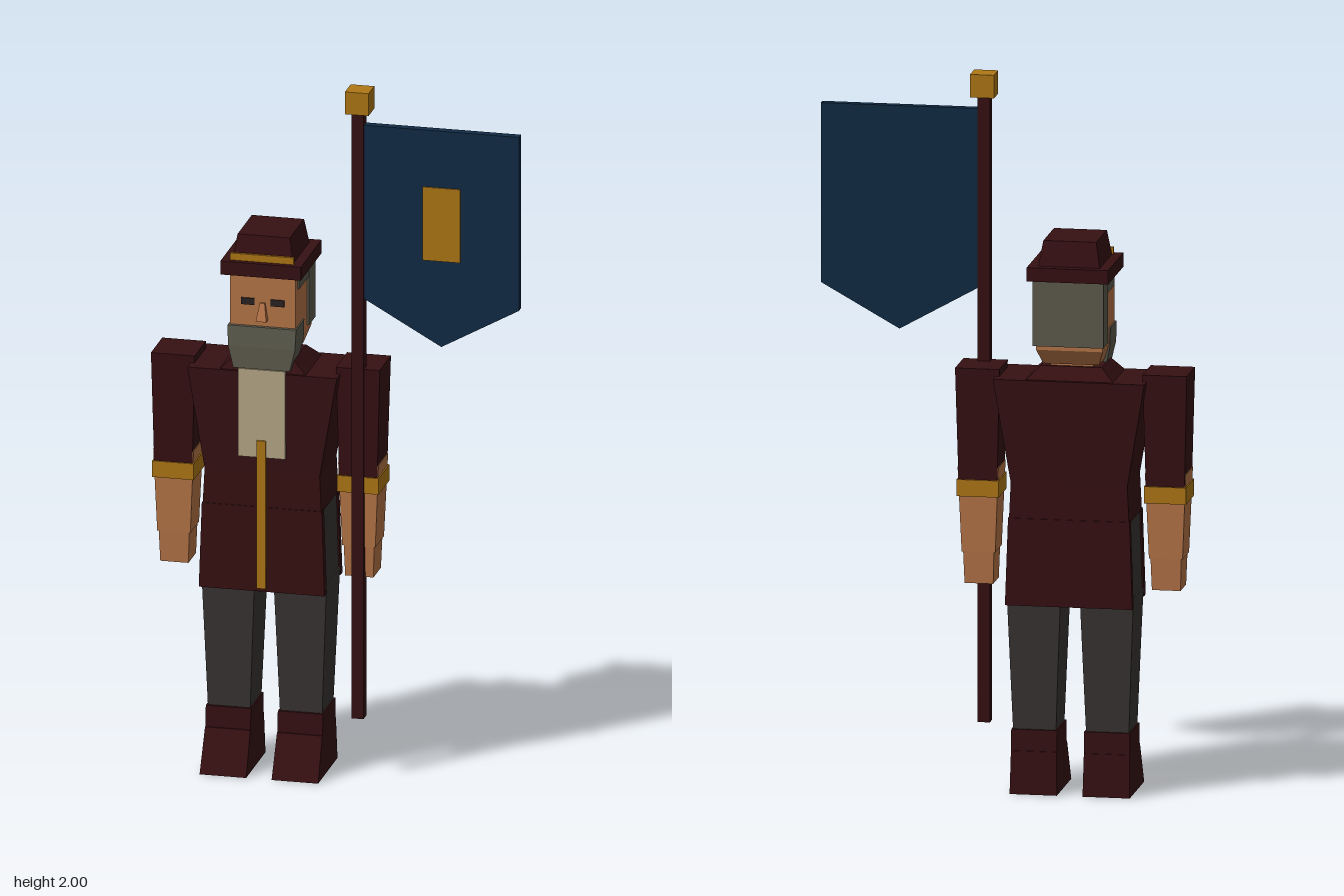
import * as THREE from 'three';

const CX = -0.2; // centre line of the figure

const mat = (name, color, extra = {}) => {
  const m = new THREE.MeshStandardMaterial({ color, ...extra });
  m.name = name;
  return m;
};

export function createModel() {
  const model = new THREE.Group();
  model.name = 'flagBearer';

  const maroon = mat('maroonCloth', 0x361012);
  const skin = mat('skin', 0xb87648);
  const navy = mat('navyFlag', 0x112b45);
  const gold = mat('goldTrim', 0xb07816);
  const linen = mat('linenShirt', 0xb8a888);
  const hair = mat('greyHair', 0x5e5c4e);
  const trousers = mat('charcoalTrousers', 0x3a3434);
  const dark = mat('darkEyes', 0x2a2422);

  // Box whose bottom and top rectangles are each [x0, x1, z0, z1]
  function block(name, material, y0, y1, bottom, top = bottom, parent = model) {
    const g = new THREE.BoxGeometry(1, 1, 1);
    const p = g.attributes.position;
    for (let i = 0; i < p.count; i++) {
      const up = p.getY(i) > 0;
      const r = up ? top : bottom;
      p.setXYZ(i, p.getX(i) > 0 ? r[1] : r[0], up ? y1 : y0, p.getZ(i) > 0 ? r[3] : r[2]);
    }
    g.computeVertexNormals();
    const mesh = new THREE.Mesh(g, material);
    mesh.name = name;
    parent.add(mesh);
    return mesh;
  }
  // Same, but symmetric about the figure's centre line: [halfWidth, z0, z1]
  const mid = (name, material, y0, y1, b, t = b) =>
    block(name, material, y0, y1, [CX - b[0], CX + b[0], b[1], b[2]], [CX - t[0], CX + t[0], t[1], t[2]]);

  for (const side of [-1, 1]) {
    const label = side > 0 ? 'left' : 'right';

    // Legs and boots
    const leg = new THREE.Group();
    leg.name = label + 'Leg';
    model.add(leg);
    const lx = CX + side * 0.102;
    const legPart = (name, m, y0, y1, b, t = b) => block(name, m, y0, y1,
      [lx - b[0], lx + b[0], b[1], b[2]], [lx - t[0], lx + t[0], t[1], t[2]], leg);
    legPart('bootFoot', maroon, 0, 0.12, [0.066, -0.095, 0.13], [0.064, -0.085, 0.075]);
    legPart('bootShaft', maroon, 0.12, 0.18, [0.064, -0.082, 0.07], [0.064, -0.08, 0.066]);
    legPart('shin', trousers, 0.18, 0.36, [0.06, -0.074, 0.058], [0.067, -0.082, 0.064]);
    legPart('thigh', trousers, 0.36, 0.56, [0.067, -0.082, 0.064], [0.075, -0.088, 0.07]);

    // Arms
    const arm = new THREE.Group();
    arm.name = label + 'Arm';
    model.add(arm);
    const ax = CX + side * 0.262;
    const armPart = (name, m, y0, y1, b, t = b) => block(name, m, y0, y1,
      [ax - b[0], ax + b[0], b[1], b[2]], [ax - t[0], ax + t[0], t[1], t[2]], arm);
    armPart('sleeve', maroon, 0.87, 1.19, [0.054, -0.066, 0.05], [0.062, -0.076, 0.055]);
    armPart('cuff', gold, 0.828, 0.875, [0.059, -0.071, 0.054]);
    armPart('forearm', skin, 0.67, 0.91, [0.047, -0.057, 0.044], [0.057, -0.064, 0.049]);
    armPart('hand', skin, 0.58, 0.67, [0.04, -0.05, 0.037], [0.043, -0.055, 0.042]);
  }

  // Coat: chest, waist and split skirt over the hips
  mid('chest', maroon, 0.88, 1.17, [0.163, -0.105, 0.092], [0.212, -0.113, 0.093]);
  mid('waist', maroon, 0.775, 0.88, [0.168, -0.105, 0.094], [0.163, -0.105, 0.092]);
  mid('hips', trousers, 0.555, 0.78, [0.173, -0.091, 0.071], [0.166, -0.091, 0.071]);
  mid('coatFrontPanel', maroon, 0.535, 0.78, [0.178, 0.07, 0.098], [0.17, 0.07, 0.096]);
  mid('coatBackPanel', maroon, 0.535, 0.78, [0.178, -0.112, -0.088], [0.17, -0.108, -0.088]);
  mid('collar', maroon, 1.17, 1.205, [0.122, -0.1, 0.085], [0.085, -0.07, 0.07]);
  mid('shirtFront', linen, 0.925, 1.18, [0.067, 0.09, 0.099]);
  mid('coatTrim', gold, 0.545, 0.975, [0.013, 0.095, 0.104]);

  // Head
  mid('neck', skin, 1.19, 1.24, [0.06, -0.06, 0.05]);
  mid('jaw', skin, 1.212, 1.255, [0.078, -0.072, 0.07], [0.093, -0.1, 0.085]);
  mid('face', skin, 1.255, 1.457, [0.093, -0.1, 0.085]);
  mid('beardUpper', hair, 1.245, 1.303, [0.095, 0, 0.1], [0.097, 0, 0.096]);
  mid('beardLower', hair, 1.182, 1.245, [0.08, 0.012, 0.1], [0.095, 0, 0.1]);
  mid('hairBack', hair, 1.27, 1.457, [0.099, -0.122, -0.048]);
  mid('hairTop', hair, 1.41, 1.457, [0.097, -0.05, 0.06]);
  mid('nose', skin, 1.322, 1.372, [0.015, 0.08, 0.106], [0.007, 0.08, 0.092]);
  for (const side of [-1, 1]) {
    const ex = CX + side * 0.042;
    block(side > 0 ? 'leftEye' : 'rightEye', dark, 1.364, 1.383, [ex - 0.019, ex + 0.019, 0.082, 0.089]);
  }

  // Hat
  mid('hatBrim', maroon, 1.453, 1.492, [0.114, -0.13, 0.11]);
  mid('hatCrown', maroon, 1.492, 1.562, [0.086, -0.105, 0.085], [0.074, -0.092, 0.073]);
  mid('hatBand', gold, 1.492, 1.512, [0.09, 0.086, 0.094]);

  // Flagpole and banner
  const flag = new THREE.Group();
  flag.name = 'flag';
  model.add(flag);
  block('pole', maroon, 0.173, 1.94, [0.045, 0.079, 0.025, 0.059], undefined, flag);
  block('finial', gold, 1.935, 2, [0.03, 0.097, 0.007, 0.073], undefined, flag);
  const outline = new THREE.Shape([[0.079, 1.9], [0.079, 1.395], [0.298, 1.272], [0.518, 1.395], [0.518, 1.9]]
    .map(([x, y]) => new THREE.Vector2(x, y)));
  const banner = new THREE.Mesh(new THREE.ExtrudeGeometry(outline, { depth: 0.024, bevelEnabled: false }), navy);
  banner.name = 'banner';
  banner.position.z = 0.028;
  flag.add(banner);
  block('bannerPatch', gold, 1.522, 1.735, [0.246, 0.352, 0.05, 0.056], undefined, flag);

  return model;
}
